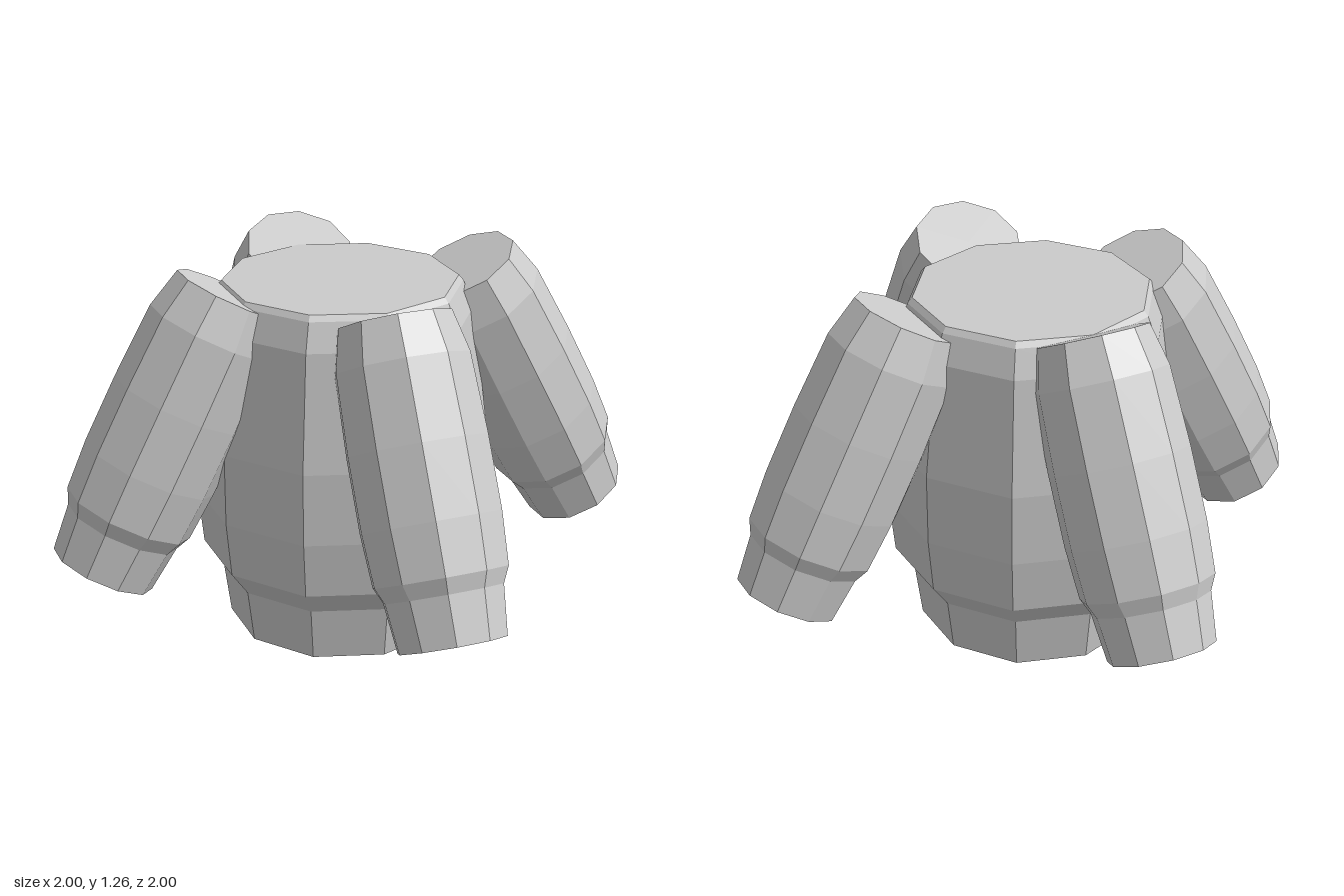
import * as THREE from 'three';

const SIDES = 10;
const TILT = THREE.MathUtils.degToRad(27.5);
const OFFSET = -0.027; // body and pods sit slightly off the axes

// Ten-sided lathe from [radius, height] pairs, listed from the bottom up
function turned(name, profile, phiStart, material) {
  const points = profile.map(([r, y]) => new THREE.Vector2(r, y));
  const mesh = new THREE.Mesh(new THREE.LatheGeometry(points, SIDES, phiStart), material);
  mesh.name = name;
  return mesh;
}

export function createModel() {
  const model = new THREE.Group();
  model.name = 'boosterCluster';
  const material = new THREE.MeshStandardMaterial({ color: 0xcccccc, flatShading: true });

  // Central body: recessed underside, stepped foot, swelling wall, chamfered top
  const body = turned('body', [
    [0, 0.05], [0.25, 0.05], [0.29, 0], [0.375, 0.012], [0.398, 0.19],
    [0.46, 0.275], [0.478, 0.46], [0.478, 0.7], [0.43, 1.08],
    [0.395, 1.17], [0.38, 1.188], [0, 1.188],
  ], 0, material);
  body.position.set(OFFSET, 0, OFFSET - 0.005);
  model.add(body);

  // Four pods leaning inward at the top, each with a hollow nozzle end
  const podProfile = [
    [0, -0.07], [0.105, -0.07], [0.125, -0.115], [0.171, -0.12],
    [0.188, 0.035], [0.212, 0.085], [0.222, 0.25], [0.222, 0.48],
    [0.213, 0.73], [0.181, 0.863], [0, 0.863],
  ];
  ['frontPod', 'leftPod', 'backPod', 'rightPod'].forEach((name, i) => {
    const pod = turned('podShell', podProfile, Math.PI / SIDES, material);
    pod.rotation.x = -TILT;
    pod.position.set(0, 0.9 * Math.sin(TILT), 0.9 * Math.cos(TILT));
    const arm = new THREE.Group();
    arm.name = name;
    arm.rotation.y = (i * Math.PI) / 2;
    if (i % 2) arm.position.z = OFFSET;
    else arm.position.x = OFFSET;
    arm.add(pod);
    model.add(arm);
  });

  return model;
}
